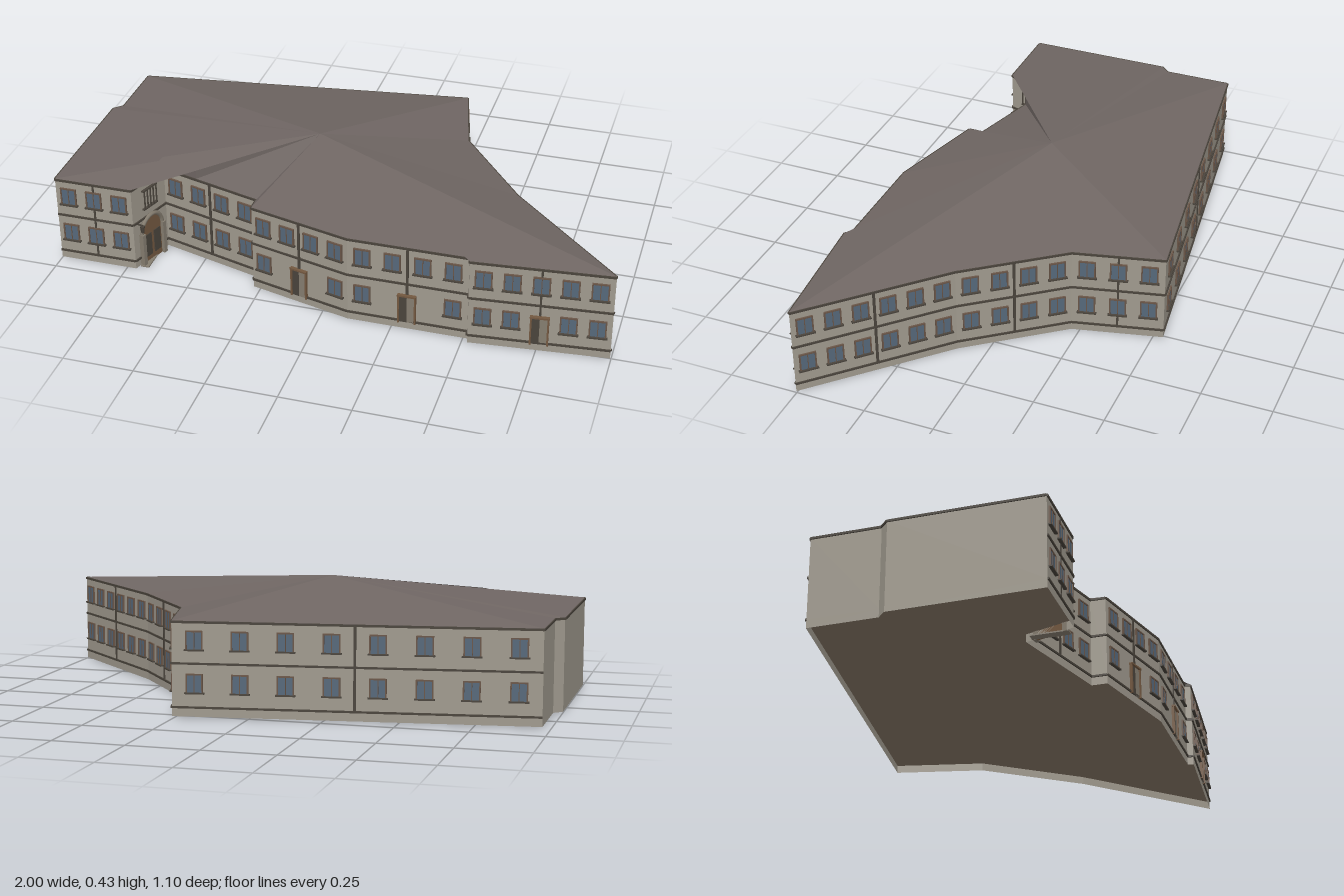
import * as THREE from 'three';

const mat = (color, extra = {}) => new THREE.MeshStandardMaterial({ color, ...extra });
const WALL = mat(0xa09a8e, { side: THREE.DoubleSide });
const ROOF = mat(0x6f6663, { flatShading: true, side: THREE.DoubleSide });
const TRIM = mat(0x4a443c), GLASS = mat(0x56687a), FRAME = mat(0x6a5648), WOOD = mat(0x735840);
const FLOOR = mat(0x857666, { side: THREE.DoubleSide }), STONE = mat(0x857d70);
const EAVES = 0.33, BASE = 0.033;

// Footprint, anticlockwise from above: x, z of the wall's start, then windows per storey,
// door flag and trim flag for the wall running to the next corner
const WALLS = [
  [-1, 0.44, 3, false, true],
  [-0.715, 0.44, 0, false, true],
  [-0.66, 0.265, 4, false, true],
  [-0.275, 0.375, 0, false, true],
  [-0.275, 0.43, 4, true, true],
  [0.095, 0.525, 4, true, true],
  [0.515, 0.525, 0, false, true],
  [0.52, 0.546, 5, true, true],
  [0.997, 0.503, 6, false, true],
  [0.585, 0.1, 4, false, true],
  [0.335, -0.222, 3, false, true],
  [0.26, -0.535, 8, false, true],
  [-0.97, -0.367, 0, false, false],
  [-0.97, -0.12, 0, false, false],
  [-1, -0.09, 0, false, false],
];

function add(parent, name, geometry, material, x = 0, y = 0, z = 0) {
  const mesh = new THREE.Mesh(geometry, material);
  mesh.name = name;
  mesh.position.set(x, y, z);
  parent.add(mesh);
}
const box = (parent, name, w, h, d, x, y, z, material) =>
  add(parent, name, new THREE.BoxGeometry(w, h, d), material, x, y, z);

function unit(name, x, y) {
  const g = new THREE.Group();
  g.name = name;
  g.position.set(x, y, 0);
  return g;
}

// Casement window: glass, surround, mullion and sill
function windowUnit(x, y) {
  const g = unit('window', x, y);
  const w = 0.054, h = 0.064;
  box(g, 'glass', w, h, 0.004, 0, 0, 0.001, GLASS);
  for (const s of [-1, 1]) box(g, 'windowJamb', 0.005, h, 0.008, s * w / 2, 0, 0.002, FRAME);
  box(g, 'windowHead', w + 0.005, 0.005, 0.008, 0, h / 2, 0.002, FRAME);
  box(g, 'windowSill', w + 0.014, 0.005, 0.014, 0, -h / 2, 0.004, TRIM);
  box(g, 'mullion', 0.003, h, 0.006, 0, 0, 0.002, FRAME);
  return g;
}

// Double door with one dark and one pale leaf
function doorUnit(x) {
  const g = unit('door', x, 0.084);
  box(g, 'darkLeaf', 0.027, 0.106, 0.006, -0.0135, 0, 0.002, TRIM);
  box(g, 'paleLeaf', 0.027, 0.106, 0.006, 0.0135, 0, 0.002, STONE);
  for (const s of [-1, 1]) box(g, 'doorJamb', 0.006, 0.11, 0.012, s * 0.029, 0, 0.004, WOOD);
  box(g, 'doorHead', 0.066, 0.006, 0.016, 0, 0.056, 0.005, WOOD);
  return g;
}

// Arched gateway with double doors, stone surround, lantern and iron grille
function archway(x) {
  const g = unit('archway', x, 0);
  const r = 0.052, spring = 0.13;
  const shape = new THREE.Shape();
  shape.moveTo(-r, 0);
  shape.lineTo(r, 0);
  shape.lineTo(r, spring);
  shape.absarc(0, spring, r, 0, Math.PI, false);
  shape.lineTo(-r, 0);
  add(g, 'gate', new THREE.ExtrudeGeometry(shape, { depth: 0.006, bevelEnabled: false, curveSegments: 10 }), WOOD);
  add(g, 'archRing', new THREE.TorusGeometry(r + 0.004, 0.008, 6, 14, Math.PI), STONE, 0, spring, 0.006);
  for (const s of [-1, 1]) {
    box(g, 'archPost', 0.016, spring, 0.02, s * (r + 0.004), spring / 2, 0.008, STONE);
    box(g, 'gatePanel', 0.034, 0.09, 0.004, s * 0.024, 0.07, 0.007, TRIM);
  }
  box(g, 'lanternArm', 0.005, 0.005, 0.024, -0.07, 0.18, 0.012, TRIM);
  add(g, 'lantern', new THREE.CylinderGeometry(0.009, 0.006, 0.026, 6), TRIM, -0.07, 0.165, 0.024);
  for (let i = -2; i <= 2; i++) box(g, 'grilleBar', 0.004, 0.075, 0.004, i * 0.016, 0.26, 0.01, TRIM);
  for (const y of [0.223, 0.297]) box(g, 'grilleRail', 0.076, 0.005, 0.01, 0, y, 0.006, TRIM);
  return g;
}

// One facade, built along local x with local z facing outwards
function facade(index) {
  const [x0, z0, count, hasDoor, hasTrim] = WALLS[index];
  const [x1, z1] = WALLS[(index + 1) % WALLS.length];
  const len = Math.hypot(x1 - x0, z1 - z0), mid = len / 2;
  const g = unit('facade', x0, 0);
  g.position.z = z0;
  g.rotation.y = Math.atan2(z0 - z1, x1 - x0);
  // Thin skirt hanging below the floor
  add(g, 'skirt', new THREE.PlaneGeometry(len, BASE - 0.003), WALL, mid, (BASE + 0.003) / 2);
  box(g, 'eavesTrim', len, 0.008, 0.008, mid, EAVES - 0.004, 0, TRIM);
  if (!hasTrim) return g;
  for (const y of [0.035, 0.185]) box(g, 'band', len, 0.007, 0.008, mid, y, 0.001, TRIM);
  if (index === 1) g.add(archway(mid));
  if (!count) return g;

  const pitch = len / count;
  for (let i = 0; i < count; i++) {
    const x = pitch * (i + 0.5);
    g.add(windowUnit(x, 0.263));
    if (!hasDoor || Math.abs(x - mid) > pitch * 0.6) g.add(windowUnit(x, 0.116));
  }
  // Central pilaster, starting above the door, passing behind any central window
  const low = hasDoor ? 0.144 : BASE;
  const [w, d] = count % 2 ? [0.007, 0.003] : [0.009, 0.006];
  box(g, 'pilaster', w, EAVES - low, d, mid, (EAVES + low) / 2, 0.001, TRIM);
  if (hasDoor) g.add(doorUnit(mid));
  return g;
}

function facets(parent, name, polygons, material) {
  const pos = [];
  for (const p of polygons)
    for (let i = 1; i < p.length - 1; i++) pos.push(...p[0], ...p[i], ...p[i + 1]);
  const geo = new THREE.BufferGeometry();
  geo.setAttribute('position', new THREE.Float32BufferAttribute(pos, 3));
  geo.computeVertexNormals();
  add(parent, name, geo, material);
}

// Roof: planes fanning out from the peak; the wing's plane is cut off by the
// recessed corner, so its edge there rises above the eaves
function addRoof(parent) {
  const peak = [-0.145, 0.43, 0.045];
  const corner = i => { const w = WALLS[i % WALLS.length]; return [w[0], EAVES, w[1]]; };
  const tip = corner(1), inner = corner(2);
  const raise = ([x, , z]) => [x, EAVES + 0.1 * (0.44 - z) / 0.395, z];
  const cut = [-0.522, EAVES, 0.304];
  const planes = [
    [peak, corner(0), tip, raise(inner)],
    [peak, raise(inner), raise(cut)],
    [peak, raise(cut), cut],
    [peak, cut, corner(3)],
  ];
  for (let i = 3; i < WALLS.length; i++) planes.push([peak, corner(i), corner(i + 1)]);
  facets(parent, 'roof', planes, ROOF);
  facets(parent, 'raisedWall', [[tip, inner, raise(inner)], [inner, cut, raise(cut), raise(inner)]], ROOF);
}

export function createModel() {
  const model = new THREE.Group();
  model.name = 'courtyardBuilding';

  // Wall mass and underside
  const plan = new THREE.Shape(WALLS.map(([x, z]) => new THREE.Vector2(x, -z)));
  const mass = new THREE.ExtrudeGeometry(plan, { depth: EAVES - BASE - 0.002, bevelEnabled: false });
  add(model, 'walls', mass.rotateX(-Math.PI / 2), WALL, 0, BASE, 0);
  add(model, 'floor', new THREE.ShapeGeometry(plan).rotateX(-Math.PI / 2), FLOOR, 0, BASE - 0.002, 0);
  // Doorstep under the gateway
  box(model, 'gateStep', 0.03, 0.005, 0.13, -0.69, 0.0025, 0.355, STONE);

  WALLS.forEach((w, i) => model.add(facade(i)));
  addRoof(model);
  return model;
}
